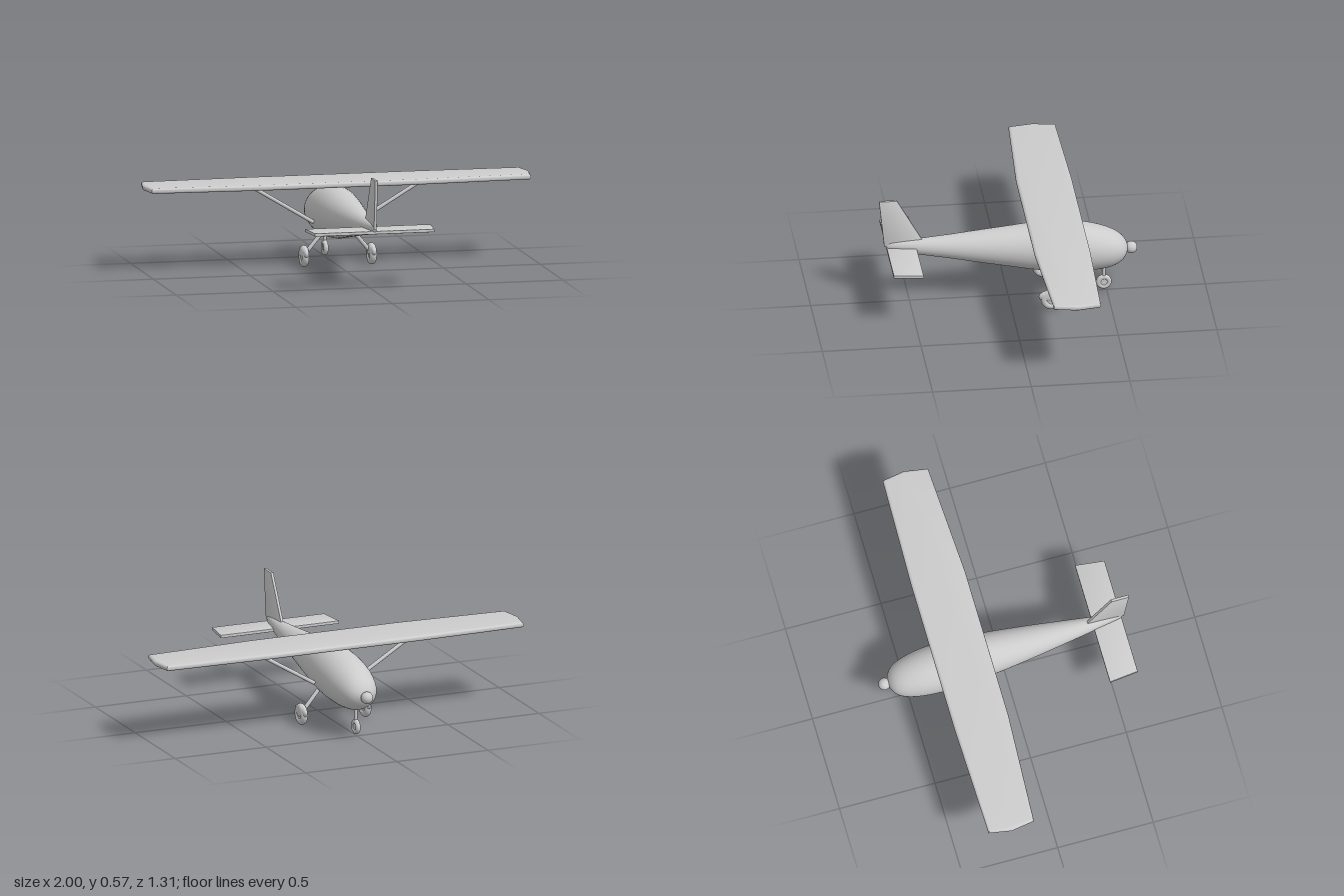
import * as THREE from 'three';
import { toCreasedNormals } from 'three/addons/utils/BufferGeometryUtils.js';

const paint = new THREE.MeshStandardMaterial({ color: 0xcccccc });
paint.name = 'light grey';

function add(parent, name, geometry, x = 0, y = 0, z = 0) {
  const mesh = new THREE.Mesh(geometry, paint);
  mesh.name = name;
  mesh.position.set(x, y, z);
  parent.add(mesh);
  return mesh;
}

// Round bar between two points
function rod(parent, name, from, to, radius) {
  const a = new THREE.Vector3(...from), b = new THREE.Vector3(...to);
  const mesh = add(parent, name, new THREE.CylinderGeometry(radius, radius, a.distanceTo(b), 16));
  mesh.position.copy(a).lerp(b, 0.5);
  mesh.quaternion.setFromUnitVectors(new THREE.Vector3(0, 1, 0), b.clone().sub(a).normalize());
  return mesh;
}

// Flat plate from an outline, with rounded edges, centred on its thickness
function plate(points, thickness, bevel, segments) {
  const shape = new THREE.Shape(points.map(([u, v]) => new THREE.Vector2(u, v)));
  const depth = thickness - 2 * bevel;
  const geometry = new THREE.ExtrudeGeometry(shape, {
    depth, bevelEnabled: true, bevelThickness: bevel, bevelSize: bevel,
    bevelOffset: -bevel, bevelSegments: segments,
  });
  geometry.translate(0, 0, -depth / 2);
  return toCreasedNormals(geometry, 0.65);
}

// Mirrored horizontal plate; outline holds the +x half as [x, z], front to back
function horizontalPlate(half, thickness, bevel, segments) {
  const right = half.map(([x, z]) => [x, -z]);
  const left = half.map(([x, z]) => [-x, -z]).reverse();
  return plate([...right, ...left], thickness, bevel, segments).rotateX(-Math.PI / 2);
}

// Fuselage: elliptical rings along z, [z, top, bottom, half width]
function fuselageGeometry() {
  const stations = [
    [-0.606, 0.238, 0.238, 0], [-0.600, 0.266, 0.208, 0.035], [-0.573, 0.304, 0.170, 0.072],
    [-0.52, 0.339, 0.142, 0.098], [-0.434, 0.370, 0.130, 0.116], [-0.33, 0.390, 0.129, 0.123],
    [-0.224, 0.398, 0.136, 0.121], [-0.12, 0.393, 0.151, 0.112], [0, 0.381, 0.175, 0.100],
    [0.16, 0.367, 0.206, 0.080], [0.30, 0.355, 0.234, 0.060], [0.44, 0.346, 0.259, 0.039],
    [0.55, 0.339, 0.281, 0.021], [0.608, 0.333, 0.295, 0.010], [0.62, 0.315, 0.315, 0],
  ];
  const heights = new THREE.CatmullRomCurve3(
    stations.map(([z, t, b]) => new THREE.Vector3(z, (t + b) / 2, (t - b) / 2)), false, 'catmullrom');
  const widths = new THREE.CatmullRomCurve3(
    stations.map(([z, , , w]) => new THREE.Vector3(z, w, 0)), false, 'catmullrom');
  const rings = (stations.length - 1) * 4, sides = 48;
  const positions = [], index = [];
  for (let i = 0; i <= rings; i++) {
    const h = heights.getPoint(i / rings), w = widths.getPoint(i / rings).y;
    for (let j = 0; j < sides; j++) {
      const angle = (j / sides) * Math.PI * 2;
      positions.push(w * Math.cos(angle), h.y + h.z * Math.sin(angle), h.x);
      if (i === rings) continue;
      const a = i * sides + j, b = i * sides + (j + 1) % sides;
      index.push(a, b, a + sides, b, b + sides, a + sides);
    }
  }
  const geometry = new THREE.BufferGeometry();
  geometry.setAttribute('position', new THREE.Float32BufferAttribute(positions, 3));
  geometry.setIndex(index);
  geometry.computeVertexNormals();
  return geometry;
}

// Round tyre with a hub, axle along x
function wheel(parent, name, x, y, z, ring, tube) {
  const group = new THREE.Group();
  group.name = name;
  group.position.set(x, y, z);
  add(group, 'tyre', new THREE.TorusGeometry(ring, tube, 16, 36).rotateY(Math.PI / 2));
  add(group, 'hub', new THREE.CylinderGeometry(ring * 0.75, ring * 0.75, tube * 1.3, 24).rotateZ(Math.PI / 2));
  parent.add(group);
  return group;
}

export function createModel() {
  const plane = new THREE.Group();
  plane.name = 'highWingAeroplane';

  add(plane, 'fuselage', fuselageGeometry());
  add(plane, 'spinner', new THREE.SphereGeometry(0.031, 28, 20), 0, 0.233, -0.624);

  // Main wing with gently tapered outer panels
  const wingOutline = [[0.4, -0.37], [0.98, -0.356], [1.0, -0.24], [0.98, -0.118], [0.4, -0.088]];
  add(plane, 'wing', horizontalPlate(wingOutline.reverse(), 0.028, 0.0135, 4), 0, 0.427, 0);

  // Tail surfaces
  add(plane, 'tailplane', horizontalPlate([[0.308, 0.615], [0.325, 0.465]], 0.016, 0.003, 2), 0, 0.298, 0);
  const finOutline = [[0.42, 0.316], [0.628, 0.316], [0.654, 0.57], [0.563, 0.57], [0.437, 0.346]];
  add(plane, 'fin', plate(finOutline, 0.015, 0.003, 2).rotateY(-Math.PI / 2));

  // Wing struts and main landing gear, mirrored
  for (const side of [1, -1]) {
    rod(plane, 'wingStrut', [side * 0.435, 0.412, -0.225], [side * 0.118, 0.22, -0.233], 0.01);
    rod(plane, 'mainGearLeg', [side * 0.075, 0.178, -0.2], [side * 0.17, 0.065, -0.2], 0.0105);
    const main = wheel(plane, 'mainWheel', side * 0.175, 0.055, -0.2, 0.0365, 0.0185);
    const fairing = add(main, 'wheelFairing', new THREE.SphereGeometry(1, 28, 18), 0, 0.017, 0);
    fairing.scale.set(0.02, 0.033, 0.065);
  }

  // Nose gear
  rod(plane, 'noseGearLeg', [0, 0.16, -0.486], [0, 0.05, -0.486], 0.009);
  wheel(plane, 'noseWheel', 0, 0.046, -0.486, 0.0265, 0.013);

  return plane;
}
